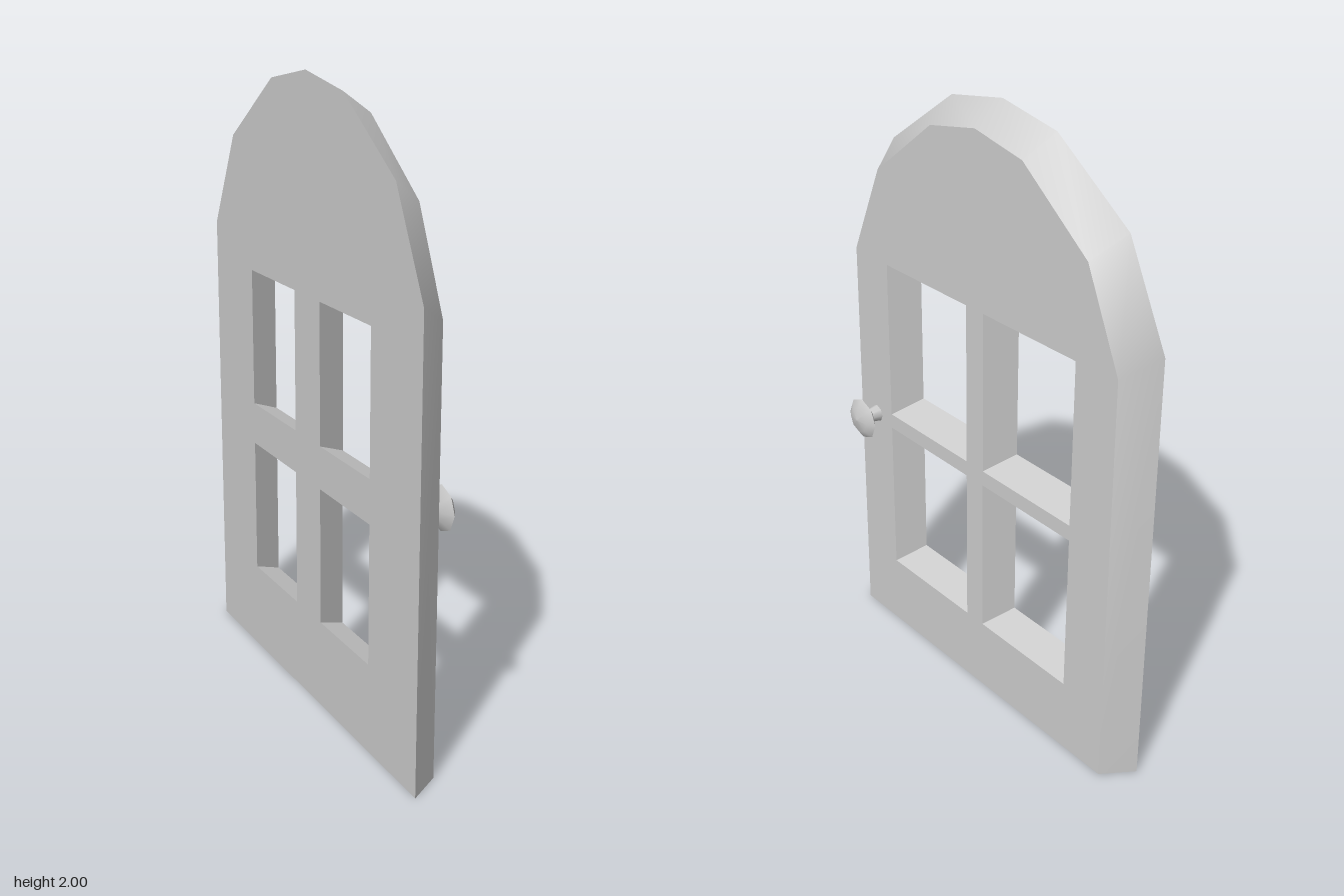
import * as THREE from 'three';

const FRONT = 0.007, BACK = -0.095;

export function createModel() {
  const model = new THREE.Group();
  model.name = 'archedDoor';
  // Drawn facing +z, then turned so that the face looks along +x
  const door = new THREE.Group();
  door.name = 'door';
  door.rotation.y = Math.PI / 2;
  model.add(door);

  const smooth = new THREE.MeshStandardMaterial({ color: 0xcccccc, side: THREE.DoubleSide });
  const flat = smooth.clone();
  flat.flatShading = true;

  const add = (name, geometry, material) => {
    const mesh = new THREE.Mesh(geometry, material);
    mesh.name = name;
    door.add(mesh);
    return mesh;
  };

  // Mirror half an arch outline into a counterclockwise open loop
  const mirror = half => [...half, ...half.slice(0, -1).reverse().map(([x, y]) => [-x, y])];
  const frontOutline = mirror([[0.613, 0], [0.606, 1.39], [0.473, 1.687], [0.203, 1.894], [0, 1.933]]);
  const backOutline = mirror([[0.68, 0], [0.676, 1.45], [0.523, 1.757], [0.229, 1.96], [0, 2]]);

  // Clockwise rectangles for the four panes, narrowing towards the back
  const panes = inset => {
    const list = [];
    for (const x of [-0.44, 0.04]) {
      for (const y of [0.25, 0.842]) {
        const x0 = x + inset, x1 = x + 0.4 - inset, y0 = y + inset, y1 = y + 0.54 - inset;
        list.push([[x0, y0], [x0, y1], [x1, y1], [x1, y0]]);
      }
    }
    return list;
  };
  const frontPanes = panes(0), backPanes = panes(0.044);

  // Wall joining a front outline to the matching back outline
  const band = (front, back, closed) => {
    const n = front.length, positions = [], index = [];
    front.forEach(([x, y], i) => positions.push(x, y, FRONT, ...back[i], BACK));
    for (let i = 0; i < (closed ? n : n - 1); i++) {
      const a = 2 * i, b = 2 * ((i + 1) % n);
      index.push(a, a + 1, b + 1, a, b + 1, b);
    }
    const g = new THREE.BufferGeometry();
    g.setAttribute('position', new THREE.Float32BufferAttribute(positions, 3));
    g.setIndex(index);
    g.computeVertexNormals();
    return g;
  };

  // Flat panel pierced by the panes
  const toVectors = pts => pts.map(p => new THREE.Vector2(...p));
  const panel = (outline, holes) => {
    const shape = new THREE.Shape(toVectors(outline));
    holes.forEach(h => shape.holes.push(new THREE.Path(toVectors(h))));
    return new THREE.ShapeGeometry(shape);
  };

  add('frontPanel', panel(frontOutline, frontPanes), smooth).position.z = FRONT;
  add('backPanel', panel(backOutline, backPanes).rotateY(Math.PI), smooth).position.z = BACK;
  // Bevelled edge, open along the foot
  add('archedEdge', band(frontOutline, backOutline, false), smooth);
  frontPanes.forEach((p, i) => add('windowReveal' + (i + 1), band(p, backPanes[i], true), flat));

  // Knob and its tapering stem
  const turned = profile => new THREE.LatheGeometry(toVectors(profile), 8).rotateX(Math.PI / 2);
  const stem = add('knobStem', turned([[0.029, FRONT], [0.02, 0.05]]), smooth);
  const back = add('knobBack', turned([[0, 0.044], [0.035, 0.046], [0.072, 0.068]]), smooth);
  const face = add('knobFace', turned([[0.072, 0.068], [0.045, 0.086], [0, 0.093]]), smooth);
  for (const part of [stem, back, face]) part.position.set(-0.523, 0.813, 0);

  return model;
}
